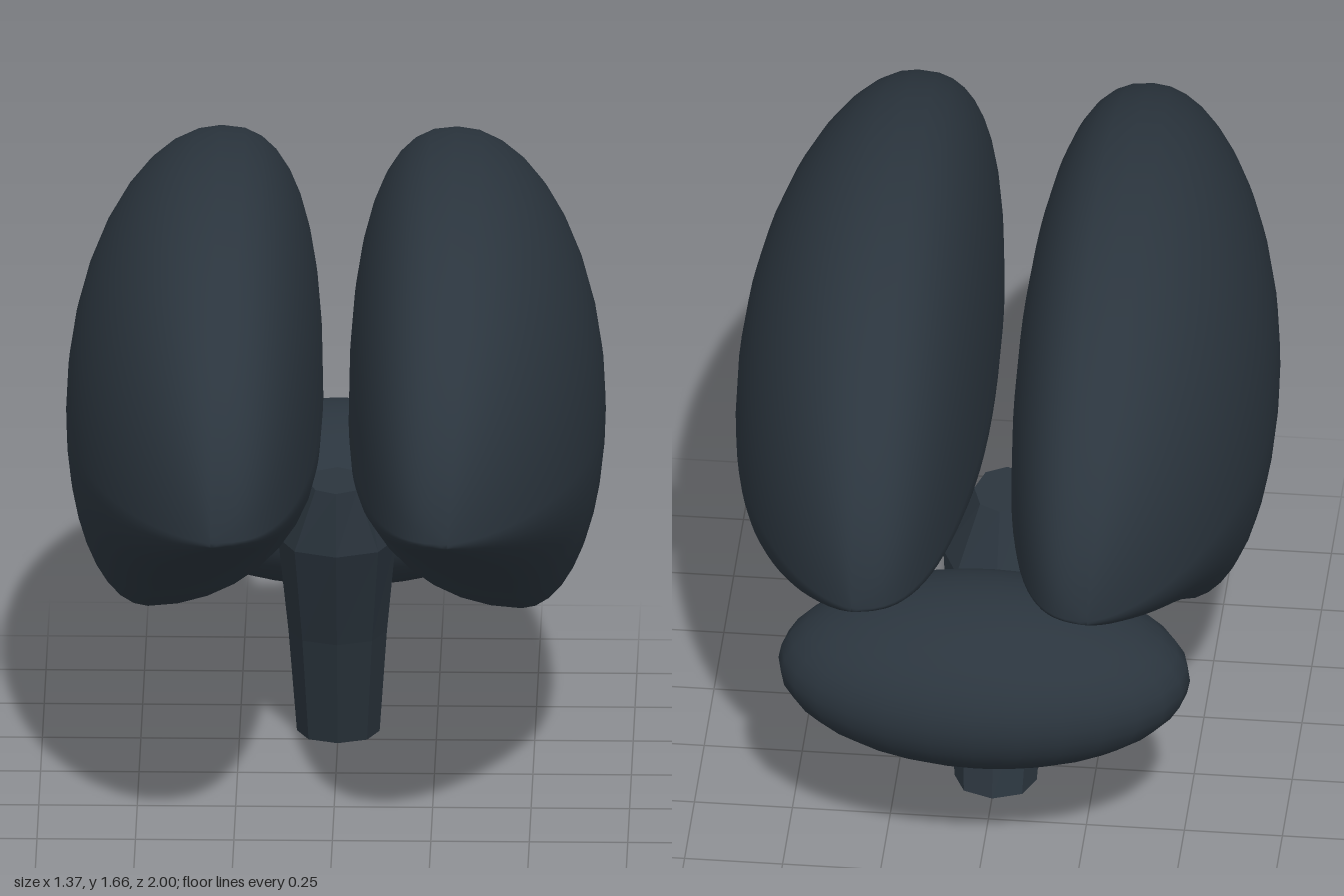
import * as THREE from 'three';

const material = new THREE.MeshStandardMaterial({ color: 0x2b353e });
const stemMaterial = new THREE.MeshStandardMaterial({ color: 0x2b353e, flatShading: true });

// Depth of the underside below the widest line, as [|z|, depth]
const UNDERSIDE = [[0, 0.495], [0.08, 0.492], [0.16, 0.478], [0.25, 0.445], [0.4, 0.34],
  [0.6, 0.225], [0.8, 0.125], [0.95, 0.045], [1, 0.012]];

function undersideDepth(z) {
  const i = Math.max(1, UNDERSIDE.findIndex(p => p[0] >= z));
  const [z0, d0] = UNDERSIDE[i - 1], [z1, d1] = UNDERSIDE[i];
  return THREE.MathUtils.mapLinear(z, z0, z1, d0, d1);
}

// Lobe lofted from closed cross-sections along z; side is +1 or -1
function hemisphereGeometry(side) {
  const rings = 36, segments = 36, midX = 0.3, midY = 0.985;
  const positions = [], indices = [];
  for (let i = 0; i <= rings; i++) {
    const z = Math.sin((i / rings * 2 - 1) * Math.PI / 2 * 0.985);
    const rest = 1 - z * z;
    const outer = 0.385 * rest ** 0.65, inner = 0.267 * rest ** 0.35;
    const top = 0.672 * Math.sqrt(rest), bottom = undersideDepth(Math.abs(z));
    const shift = 0.18 * rest; // the underside leans outwards
    for (let j = 0; j < segments; j++) {
      const a = j / segments * Math.PI * 2;
      const c = Math.cos(a), s = Math.sin(a);
      let x, y;
      if (s >= 0) {
        // fuller curve on the inner upper edge
        const n = c < 0 ? 2.5 : 2;
        x = midX + (c < 0 ? -inner : outer) * Math.abs(c) ** (2 / n);
        y = midY + top * s ** (2 / n);
      } else {
        x = midX + shift + (c < 0 ? inner + shift : outer - shift) * c;
        y = midY + bottom * s;
      }
      positions.push(side * x, y, z);
    }
  }
  const quad = (a, b, c, d) => indices.push(a, b, c, b, d, c);
  for (let i = 0; i < rings; i++) {
    for (let j = 0; j < segments; j++) {
      const k = (j + 1) % segments, r = i * segments, q = r + segments;
      quad(r + j, r + k, q + j, q + k);
    }
  }
  // end caps
  const back = positions.length / 3, front = back + 1, last = rings * segments;
  positions.push(side * midX, midY, -1, side * midX, midY, 1);
  for (let j = 0; j < segments; j++) {
    const k = (j + 1) % segments;
    indices.push(back, k, j, front, last + j, last + k);
  }
  if (side < 0) indices.reverse();
  const geometry = new THREE.BufferGeometry();
  geometry.setAttribute('position', new THREE.Float32BufferAttribute(positions, 3));
  geometry.setIndex(indices);
  geometry.computeVertexNormals();
  return geometry;
}

// Eight-sided stalk leaning forwards as it rises, closed at both ends
function stemGeometry() {
  const levels = [[0, -0.315, 0.105, 0.095], [0.3, -0.235, 0.125, 0.112],
    [0.58, -0.15, 0.15, 0.145], [0.75, -0.11, 0.075, 0.1]]; // y, z, radius x, radius z
  const geometry = new THREE.CylinderGeometry(1, 1, 1, 8, 3);
  const p = geometry.attributes.position;
  for (let i = 0; i < p.count; i++) {
    const [y, z, rx, rz] = levels[Math.round((p.getY(i) + 0.5) * 3)];
    p.setXYZ(i, p.getX(i) * rx, y, z + p.getZ(i) * rz);
  }
  geometry.computeVertexNormals();
  return geometry;
}

export function createModel() {
  const model = new THREE.Group();
  model.name = 'brain';
  const add = (name, geometry, mat = material) => {
    const mesh = new THREE.Mesh(geometry, mat);
    mesh.name = name;
    model.add(mesh);
    return mesh;
  };

  add('leftHemisphere', hemisphereGeometry(1));
  add('rightHemisphere', hemisphereGeometry(-1));

  // Flattened oval lobe under the back
  const cerebellum = add('cerebellum', new THREE.SphereGeometry(1, 28, 18));
  cerebellum.scale.set(0.525, 0.23, 0.297);
  cerebellum.position.set(0, 0.54, -0.605);

  add('brainStem', stemGeometry(), stemMaterial);
  return model;
}
